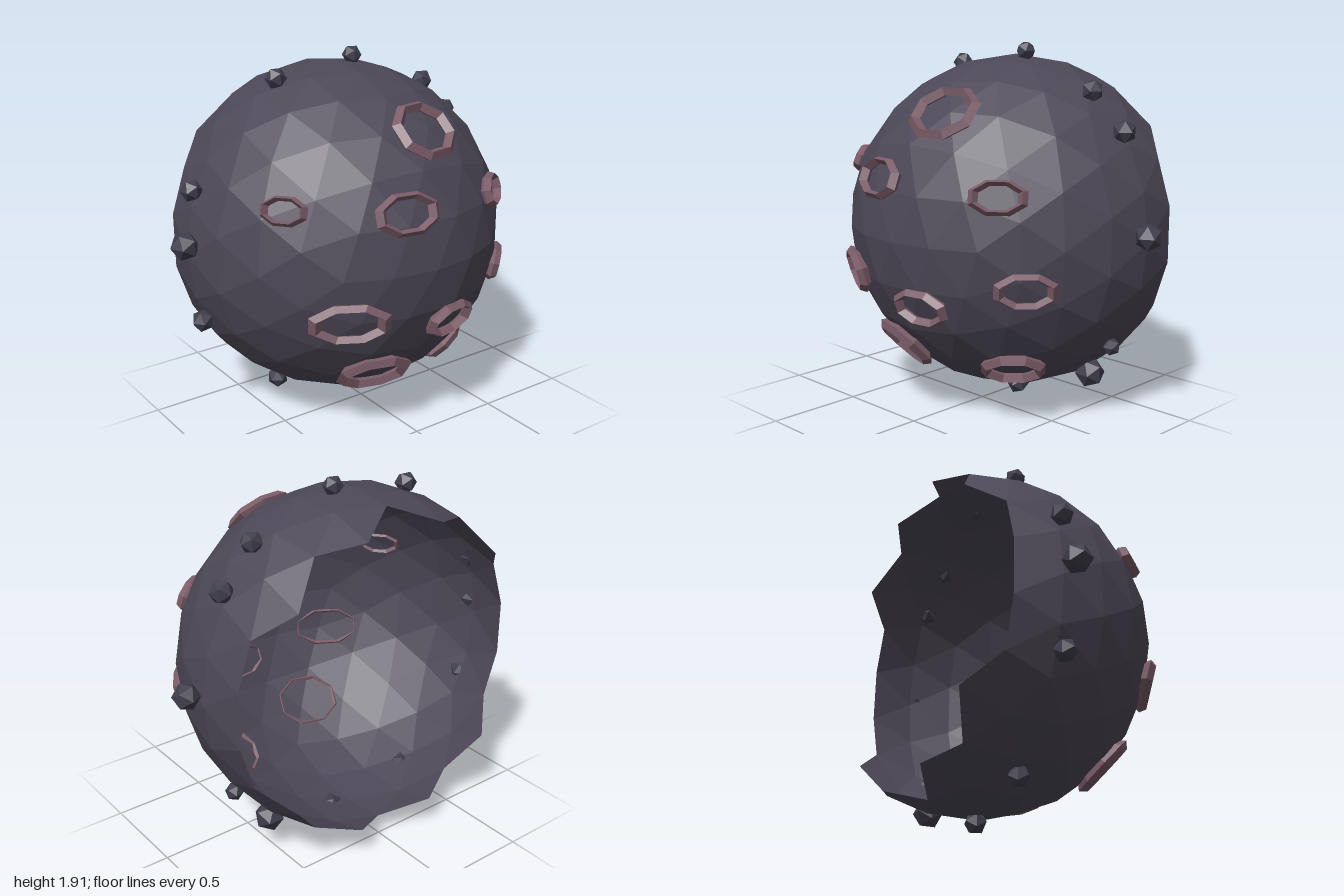
import * as THREE from 'three';

const CENTRE = new THREE.Vector3(0, 0.95, -0.25);
const RADIUS = 0.888;

const material = (name, color, extra = {}) =>
  Object.assign(new THREE.MeshStandardMaterial({ color, flatShading: true, ...extra }), { name });

// Geodesic sphere, split by edge midpoints, left open at the back
function brokenShell() {
  const p = new THREE.IcosahedronGeometry(1, 1).rotateZ(Math.PI / 2).getAttribute('position');
  const at = (i) => new THREE.Vector3().fromBufferAttribute(p, i);
  const mid = (a, b) => a.clone().add(b).normalize();
  const points = [];
  for (let i = 0; i < p.count; i += 3) {
    const [a, b, c] = [at(i), at(i + 1), at(i + 2)];
    const [ab, bc, ca] = [mid(a, b), mid(b, c), mid(c, a)];
    for (const face of [[a, ab, ca], [ab, b, bc], [ca, bc, c], [ab, bc, ca]]) {
      // faces beyond this depth are broken away, giving the jagged rim
      if ((face[0].z + face[1].z + face[2].z) / 3 > -0.32) {
        for (const v of face) points.push(v.clone().multiplyScalar(RADIUS));
      }
    }
  }
  const g = new THREE.BufferGeometry().setFromPoints(points);
  g.computeVertexNormals();
  return g;
}

// Crater rims: x, y, half width along the surface, half height along the surface
const RIMS = [
  [0.11, 1.57, 0.19, 0.163],
  [-0.145, 1.245, 0.17, 0.105],
  [0.52, 1.205, 0.143, 0.085],
  [-0.64, 1.275, 0.118, 0.072],
  [-0.425, 0.725, 0.205, 0.115],
  [0.14, 0.635, 0.16, 0.1],
  [0.63, 0.765, 0.155, 0.092],
  [-0.19, 0.35, 0.195, 0.16],
  [0.41, 0.3, 0.165, 0.125],
];

// Stones round the equator: x, y, z, radius
const STONES = [
  [-0.365, 1.785, -0.22, 0.057], [0.1, 1.855, -0.22, 0.052],
  [0.56, 1.67, -0.205, 0.058], [0.745, 1.48, -0.225, 0.062],
  [0.935, 0.99, -0.185, 0.07], [0.71, 0.39, -0.21, 0.047],
  [0.535, 0.2, -0.26, 0.08], [0.08, 0.045, -0.2, 0.06],
  [-0.405, 0.135, -0.22, 0.057], [-0.84, 0.59, -0.22, 0.06],
  [-0.925, 1.02, -0.2, 0.075], [-0.855, 1.285, -0.235, 0.058],
];

export function createModel() {
  const group = new THREE.Group();
  group.name = 'crateredShell';

  const shellMat = material('dark stone', 0x4d4857, { side: THREE.DoubleSide });
  const rimMat = material('dusty pink', 0x7b5c68);
  const stoneMat = material('slate', 0x403e4c);

  const shell = new THREE.Mesh(brokenShell(), shellMat);
  shell.name = 'shell';
  shell.position.copy(CENTRE);
  group.add(shell);

  // Octagonal rims lying on the surface, facing outward
  const rimGeo = new THREE.TorusGeometry(1, 0.2, 4, 8).rotateZ(Math.PI / 8);
  RIMS.forEach(([x, y, w, h], i) => {
    const dx = x - CENTRE.x, dy = y - CENTRE.y;
    const dz = Math.sqrt(RADIUS * RADIUS - dx * dx - dy * dy);
    const rim = new THREE.Mesh(rimGeo, rimMat);
    rim.name = `craterRim${i + 1}`;
    rim.position.set(x, y, CENTRE.z + dz);
    rim.lookAt(x + dx, y + dy, CENTRE.z + 2 * dz);
    rim.scale.set(w / 1.13, h / 1.13, 0.16);
    group.add(rim);
  });

  // Small faceted stones
  const stoneGeo = new THREE.IcosahedronGeometry(1, 0);
  STONES.forEach(([x, y, z, r], i) => {
    const stone = new THREE.Mesh(stoneGeo, stoneMat);
    stone.name = `stone${i + 1}`;
    stone.position.set(x, y, z);
    stone.rotation.set(0, i * 1.3, Math.PI / 2 * (i % 2));
    stone.scale.setScalar(r);
    group.add(stone);
  });

  return group;
}
